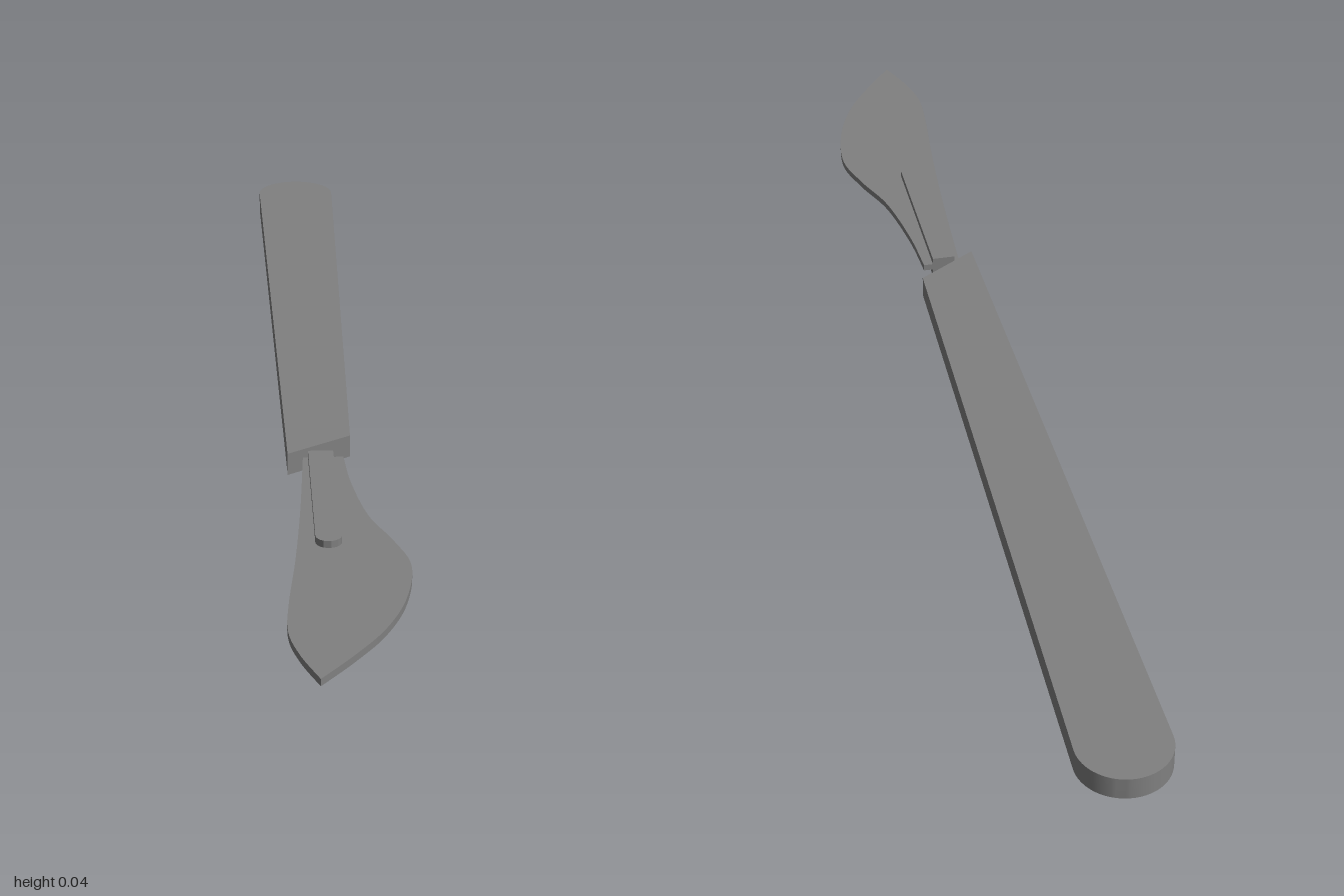
import * as THREE from 'three';
import { toCreasedNormals } from 'three/addons/utils/BufferGeometryUtils.js';

// Extrudes an outline drawn in (x, -z) upward from y0 to y1
function plate(name, shape, y0, y1, material) {
  const extruded = new THREE.ExtrudeGeometry(shape, { depth: y1 - y0, bevelEnabled: false, curveSegments: 16 });
  extruded.rotateX(-Math.PI / 2);
  extruded.translate(0, y0, 0);
  const mesh = new THREE.Mesh(toCreasedNormals(extruded, 0.5), material);
  mesh.name = name;
  return mesh;
}

const points = (list) => list.map(([x, z]) => new THREE.Vector2(x, -z));

export function createModel() {
  const steel = new THREE.MeshStandardMaterial({ color: 0x808080 });
  steel.name = 'steel';
  const group = new THREE.Group();
  group.name = 'scalpel';

  // Tapered handle with a rounded butt and a slanted front end
  const handle = new THREE.Shape();
  handle.moveTo(-0.074, -0.315);
  handle.lineTo(0.026, -0.25);
  handle.lineTo(0.048, 0.93);
  handle.absellipse(-0.023, 0.93, 0.071, 0.07, 0, Math.PI, false);
  handle.closePath();
  group.add(plate('handle', handle, 0, 0.036, steel));

  // Thin blade: bellied cutting edge on the left, shallow curve on the right
  const blade = new THREE.Shape();
  blade.moveTo(-0.05, -0.305);
  blade.lineTo(0.013, -0.305);
  blade.splineThru(points([[0.02, 0.4], [0.04, 0.515], [0.072, 0.6], [0.092, 0.68],
    [0.078, 0.78], [0.045, 0.865], [0, 0.935], [-0.05, 1]]));
  blade.splineThru(points([[-0.075, 0.935], [-0.089, 0.87], [-0.086, 0.79],
    [-0.072, 0.65], [-0.06, 0.49], [-0.05, 0.305]]));
  group.add(plate('blade', blade, 0.014, 0.025, steel));

  // Round-ended tang that carries the blade
  const tang = new THREE.Shape();
  tang.moveTo(-0.042, -0.305);
  tang.lineTo(-0.003, -0.305);
  tang.lineTo(-0.003, -0.6);
  tang.absarc(-0.0225, -0.6, 0.0195, 0, -Math.PI, true);
  tang.closePath();
  group.add(plate('tang', tang, 0, 0.036, steel));

  return group;
}
